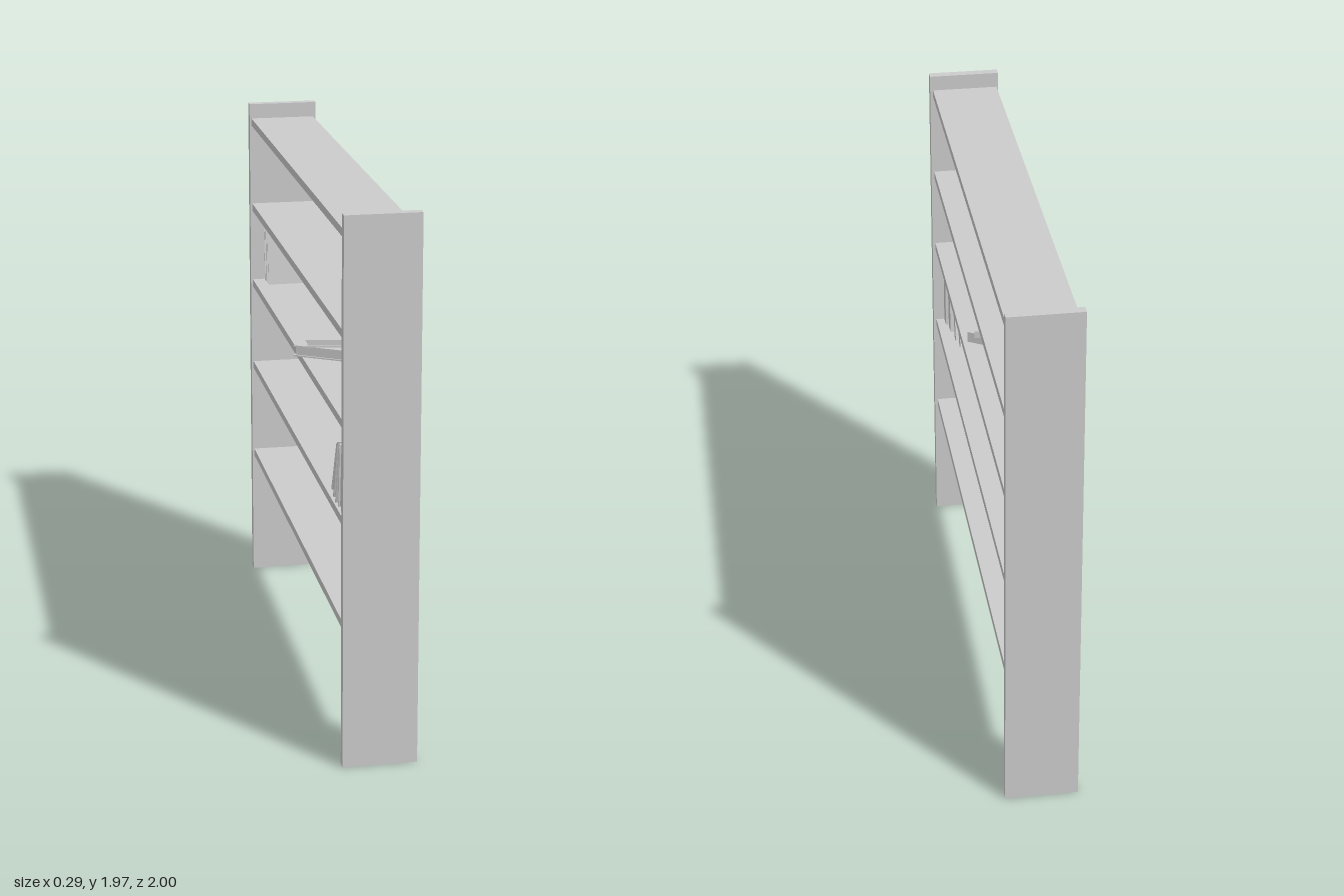
import * as THREE from 'three';

const material = new THREE.MeshStandardMaterial({ color: 0xcccccc, flatShading: true });

function box(name, w, h, d, x, y, z) {
  const mesh = new THREE.Mesh(new THREE.BoxGeometry(w, h, d), material);
  mesh.name = name;
  mesh.position.set(x, y, z);
  return mesh;
}

// Upright book centred on its origin: spine towards +x, covers facing +z and -z
function book(name, depth, height, thick) {
  const group = new THREE.Group();
  group.name = name;
  const cover = 0.005, inset = 0.006;
  for (const s of [1, -1]) {
    group.add(box('cover', depth, height, cover, 0, 0, s * (thick - cover) / 2));
  }
  group.add(box('spine', cover, height, thick - 2 * cover, (depth - cover) / 2, 0, 0));
  group.add(box('pages', depth - cover - inset, height - 2 * inset, thick - 2 * cover,
    (inset - cover) / 2, 0, 0));
  return group;
}

// Book standing on a shelf, its top leaning towards +z by the given angle
function standingBook(name, x0, x1, height, thick, z, shelfTop, degrees) {
  const b = book(name, x1 - x0, height, thick);
  const a = THREE.MathUtils.degToRad(degrees);
  const rise = (height * Math.cos(a) + thick * Math.abs(Math.sin(a))) / 2;
  b.position.set((x0 + x1) / 2, shelfTop + rise, z);
  b.rotation.x = a;
  return b;
}

// Book lying flat, its long side turned from +x towards +z by the given angle
function lyingBook(name, depth, height, thick, x, bottom, z, degrees) {
  const b = book(name, depth, height, thick);
  b.position.set(x, bottom + thick / 2, z);
  b.rotation.set(Math.PI / 2, Math.PI / 2 - THREE.MathUtils.degToRad(degrees), 0, 'YXZ');
  return b;
}

export function createModel() {
  const model = new THREE.Group();
  model.name = 'bookshelf';

  // Upright end panels
  for (const s of [1, -1]) {
    model.add(box('sidePanel', 0.266, 1.972, 0.034, 0.01, 0.986, s * 0.983));
  }

  // Shelves between the panels
  for (const y of [0.514, 0.892, 1.239, 1.554, 1.9]) {
    model.add(box('shelf', 0.248, 0.029, 1.932, 0.008, y, 0));
  }

  // Row of books slumping against one panel
  const lowTop = 0.906;
  model.add(standingBook('uprightBook', -0.11, 0.1, 0.259, 0.05, 0.94, lowTop, 0));
  model.add(standingBook('leaningBook', -0.11, 0.09, 0.231, 0.056, 0.881, lowTop, 5.3));
  model.add(standingBook('leaningBook', -0.11, 0.08, 0.235, 0.037, 0.808, lowTop, 17.4));
  model.add(standingBook('leaningBook', -0.105, 0.07, 0.219, 0.04, 0.754, lowTop, 25));

  // Pair of books leaning on the other panel
  const highTop = 1.254;
  for (const s of [1, -1]) {
    model.add(standingBook('pairedBook', -0.07, 0.1, 0.212, 0.044, -0.905 + s * 0.022, highTop, -6));
  }

  // Two books stacked flat
  model.add(lyingBook('lowerStackedBook', 0.153, 0.21, 0.041, -0.015, highTop, 0.15, 32));
  model.add(lyingBook('upperStackedBook', 0.136, 0.18, 0.027, -0.006, highTop + 0.041, 0.143, 10));

  return model;
}
